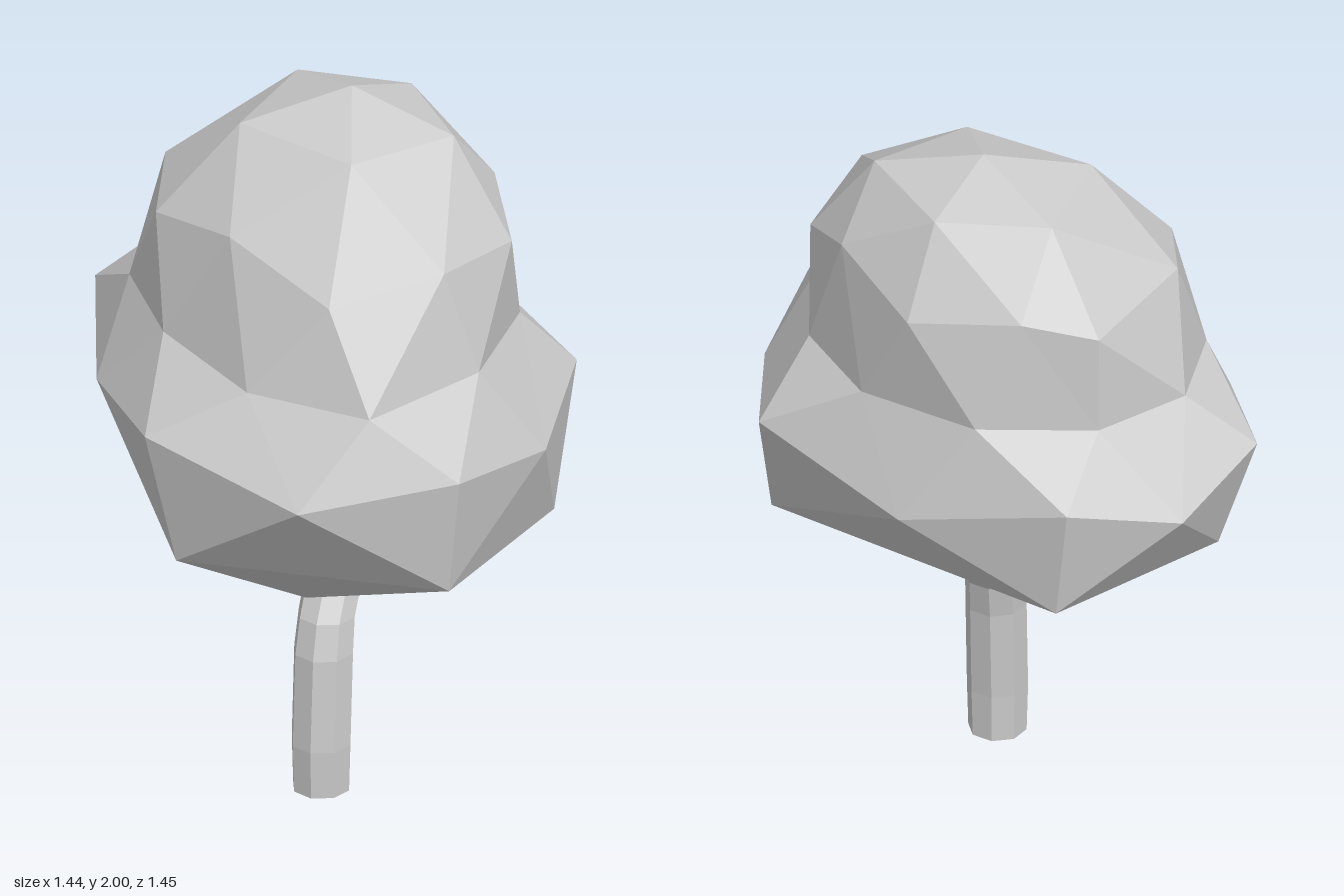
import * as THREE from 'three';

const V = (x, y, z) => new THREE.Vector3(x, y, z);
const ring = (rows) => rows.map((p) => V(...p));

// Joins two rings of equal count (lower, upper) using the shorter diagonal of each quad
function strip(out, lower, upper) {
  const n = lower.length;
  for (let i = 0; i < n; i++) {
    const j = (i + 1) % n;
    const a = lower[i], b = lower[j], c = upper[j], d = upper[i];
    if (a.distanceTo(c) < b.distanceTo(d)) out.push(a, b, c, a, c, d);
    else out.push(a, b, d, b, c, d);
  }
}

// Closes a ring of ten through a ring of five to a single tip
function cap(out, ten, five, tip, down) {
  const tri = (a, b, c) => (down ? out.push(a, c, b) : out.push(a, b, c));
  for (let k = 0; k < 5; k++) {
    const s = five[k], next = five[(k + 1) % 5];
    tri(ten[(2 * k + 9) % 10], ten[2 * k], s);
    tri(ten[2 * k], ten[2 * k + 1], s);
    tri(ten[2 * k + 1], next, s);
    tri(s, next, tip);
  }
}

function facetedMesh(points, name, side = THREE.FrontSide) {
  const geometry = new THREE.BufferGeometry().setFromPoints(points);
  geometry.computeVertexNormals();
  const material = new THREE.MeshStandardMaterial({ color: 0xcccccc, flatShading: true, side });
  const mesh = new THREE.Mesh(geometry, material);
  mesh.name = name;
  return mesh;
}

// Lumpy foliage: a wide skirt, a pinched neck and a rounded crown
function foliage() {
  const under = ring([
    [0.6, 0.89, 0.53], [0.65, 0.81, -0.17], [-0.24, 0.87, -0.68],
    [-0.61, 0.9, -0.27], [-0.18, 0.86, 0.56],
  ]);
  const skirt = ring([
    [0.64, 1.24, 0.56], [0.72, 1.13, 0.09], [0.65, 1.18, -0.35], [0.21, 1.08, -0.62],
    [-0.28, 1.21, -0.73], [-0.57, 1.13, -0.57], [-0.72, 1.23, -0.28],
    [-0.56, 1.15, 0.15], [-0.26, 1.24, 0.59], [0.23, 1.15, 0.72],
  ]);
  const neck = ring([
    [0.38, 1.39, 0.56], [0.57, 1.4, 0.21], [0.54, 1.38, -0.2], [0.35, 1.36, -0.43],
    [0, 1.38, -0.6], [-0.33, 1.38, -0.54], [-0.53, 1.39, -0.33],
    [-0.53, 1.39, -0.03], [-0.33, 1.385, 0.25], [0.01, 1.39, 0.52],
  ]);
  const shoulder = ring([
    [0.23, 1.66, 0.47], [0.48, 1.7, 0.24], [0.56, 1.66, -0.08], [0.43, 1.74, -0.3],
    [0.2, 1.66, -0.54], [-0.12, 1.7, -0.56], [-0.33, 1.66, -0.53],
    [-0.48, 1.7, -0.18], [-0.41, 1.66, 0.09], [-0.13, 1.72, 0.27],
  ]);
  const crown = ring([
    [0.16, 1.91, 0.1], [0.37, 1.92, -0.14], [0.15, 1.91, -0.41],
    [-0.17, 1.91, -0.38], [-0.21, 1.91, -0.03],
  ]);
  const out = [];
  cap(out, skirt, under, V(0.04, 0.575, 0.13), true);
  strip(out, skirt, neck);
  strip(out, neck, shoulder);
  cap(out, shoulder, crown, V(0.06, 2, -0.18), false);
  return facetedMesh(out, 'foliage');
}

// Eight-sided trunk, open at the foot, bending backwards into the foliage
function trunk() {
  const path = [[0, 0.12], [0.14, 0.12], [0.41, 0.1], [0.51, 0.075], [0.64, -0.01], [0.72, -0.06]];
  const rings = path.map(([y, z], level) => {
    const r = level === 1 || level === 2 ? 0.085 : 0.081;
    return Array.from({ length: 8 }, (_, i) => {
      const a = (i * Math.PI) / 4;
      return V(0.08 + r * Math.sin(a), y, z + r * Math.cos(a));
    });
  });
  const out = [];
  for (let i = 0; i < rings.length - 1; i++) strip(out, rings[i], rings[i + 1]);
  return facetedMesh(out, 'trunk', THREE.DoubleSide);
}

export function createModel() {
  const tree = new THREE.Group();
  tree.name = 'tree';
  tree.add(foliage(), trunk());
  return tree;
}
